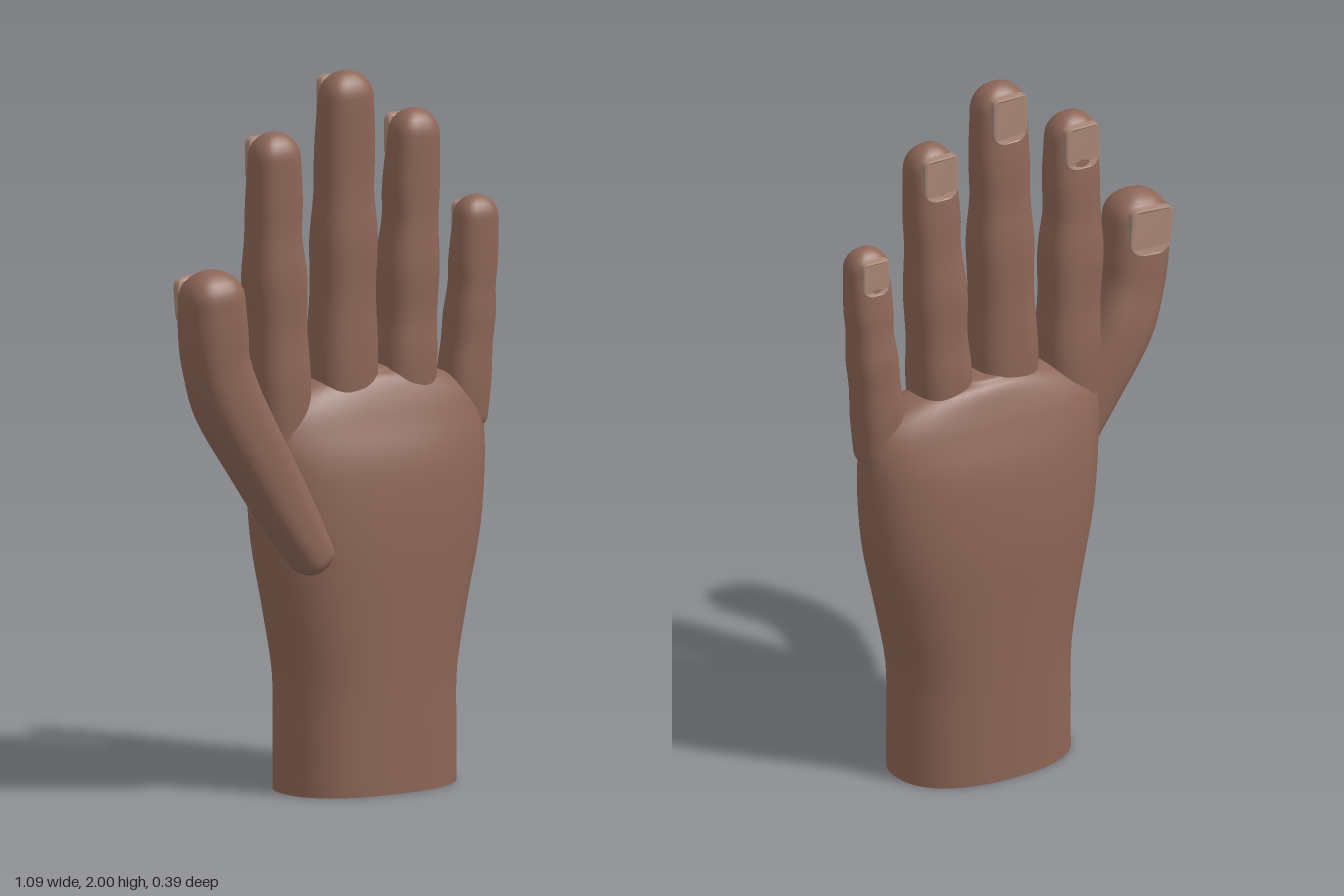
import * as THREE from 'three';

const skin = new THREE.MeshStandardMaterial({ color: 0x8d6657 });
skin.name = 'skin';
const nailColor = new THREE.MeshStandardMaterial({ color: 0xa98777 });
nailColor.name = 'nail';

const SIDES = 36;
const power = (v, n) => Math.sign(v) * Math.pow(Math.abs(v), 2 / n);

// Smooth loft through sections [x, y, z, halfWidth, halfDepth], with domed ends.
// n sets how square the rounded cross-section is.
function loft(sections, { n = 2.5, startDome = 0, endDome = 0, upright = false, steps = 5 }) {
  const centre = new THREE.CatmullRomCurve3(
    sections.map(s => new THREE.Vector3(s[0], s[1], s[2])), false, 'catmullrom', 0.5);
  const size = new THREE.CatmullRomCurve3(
    sections.map(s => new THREE.Vector3(s[3], s[4], 0)), false, 'catmullrom', 0.5);
  const rings = [];
  const addRing = (t, scale = 1, shift = 0) => {
    const dir = upright ? new THREE.Vector3(0, 1, 0) : centre.getTangent(t).setZ(0).normalize();
    const p = centre.getPoint(t).addScaledVector(dir, shift);
    const s = size.getPoint(t).multiplyScalar(scale);
    rings.push({ p, dir, w: s.x, d: s.y });
  };
  const DOME = 7;
  if (startDome) {
    for (let k = DOME; k > 0; k--) {
      const a = k / DOME * Math.PI / 2;
      addRing(0, Math.max(Math.cos(a), 0.001), -startDome * Math.sin(a));
    }
  }
  const count = (sections.length - 1) * steps;
  for (let i = 0; i <= count; i++) addRing(i / count);
  if (endDome) {
    for (let k = 1; k <= DOME; k++) {
      const a = k / DOME * Math.PI / 2;
      addRing(1, Math.max(Math.cos(a), 0.001), endDome * Math.sin(a));
    }
  }

  const positions = [], indices = [];
  rings.forEach(({ p, dir, w, d }, i) => {
    for (let j = 0; j < SIDES; j++) {
      const a = j / SIDES * Math.PI * 2;
      const u = w * power(Math.cos(a), n), v = d * power(Math.sin(a), n);
      positions.push(p.x + dir.y * u, p.y - dir.x * u, p.z - v);
      if (i < rings.length - 1) {
        const j2 = (j + 1) % SIDES, r = i * SIDES, q = r + SIDES;
        indices.push(r + j, r + j2, q + j, r + j2, q + j2, q + j);
      }
    }
  });
  const geometry = new THREE.BufferGeometry();
  geometry.setAttribute('position', new THREE.Float32BufferAttribute(positions, 3));
  geometry.setIndex(indices);
  geometry.computeVertexNormals();
  return geometry;
}

function addMesh(parent, geometry, material, name) {
  const mesh = new THREE.Mesh(geometry, material);
  mesh.name = name;
  parent.add(mesh);
  return mesh;
}

// Curved nail plate: square free edge, rounder root, wrapped around the finger back
function nailGeometry(width, height) {
  const w = width / 2, h = height / 2, r = w * 0.45, b = w * 0.7;
  const s = new THREE.Shape();
  s.moveTo(-w + b, -h);
  s.lineTo(w - b, -h);
  s.quadraticCurveTo(w, -h, w, -h + b);
  s.lineTo(w, h - r);
  s.quadraticCurveTo(w, h, w - r, h);
  s.lineTo(-w + r, h);
  s.quadraticCurveTo(-w, h, -w, h - r);
  s.lineTo(-w, -h + b);
  s.quadraticCurveTo(-w, -h, -w + b, -h);
  const g = new THREE.ExtrudeGeometry(s, {
    depth: 0.018, bevelThickness: 0.004, bevelSize: 0.004, bevelOffset: -0.004,
    bevelSegments: 2, curveSegments: 8 });
  const pos = g.attributes.position;
  for (let i = 0; i < pos.count; i++) {
    const x = pos.getX(i) / w;
    pos.setZ(i, pos.getZ(i) + 0.008 * x * x);
  }
  g.computeVertexNormals();
  return g;
}

// Fingers: sections from base to tip, then nail [x, y, z, width, height, tilt]
const fingers = {
  indexFinger: {
    sections: [
      [-0.155, 0.98, 0, 0.075, 0.075], [-0.16, 1.15, 0, 0.086, 0.085],
      [-0.167, 1.3, 0.002, 0.082, 0.078], [-0.175, 1.44, 0.006, 0.087, 0.08],
      [-0.181, 1.56, 0.01, 0.076, 0.07], [-0.181, 1.66, 0.014, 0.077, 0.067],
      [-0.186, 1.78, 0.022, 0.072, 0.06]],
    dome: 0.072, nail: [-0.185, 1.768, -0.046, 0.11, 0.13, 0] },
  middleFinger: {
    sections: [
      [0.052, 1.0, 0, 0.09, 0.08], [0.052, 1.2, 0, 0.097, 0.085],
      [0.054, 1.38, 0.002, 0.087, 0.08], [0.054, 1.53, 0.006, 0.091, 0.08],
      [0.052, 1.66, 0.01, 0.081, 0.07], [0.052, 1.78, 0.014, 0.083, 0.067],
      [0.049, 1.925, 0.024, 0.077, 0.06]],
    dome: 0.075, nail: [0.05, 1.91, -0.046, 0.11, 0.14, 0] },
  ringFinger: {
    sections: [
      [0.25, 0.98, 0, 0.08, 0.075], [0.256, 1.17, 0, 0.086, 0.085],
      [0.262, 1.3, 0.002, 0.08, 0.078], [0.264, 1.43, 0.006, 0.084, 0.08],
      [0.27, 1.56, 0.01, 0.074, 0.07], [0.271, 1.66, 0.014, 0.077, 0.067],
      [0.274, 1.8, 0.022, 0.07, 0.06]],
    dome: 0.072, nail: [0.273, 1.788, -0.046, 0.11, 0.13, 0] },
  littleFinger: {
    sections: [
      [0.45, 1.0, 0, 0.068, 0.06], [0.455, 1.1, 0, 0.072, 0.067],
      [0.463, 1.2, 0.002, 0.067, 0.065], [0.47, 1.28, 0.005, 0.068, 0.066],
      [0.474, 1.36, 0.01, 0.062, 0.06], [0.476, 1.43, 0.014, 0.066, 0.058],
      [0.479, 1.55, 0.022, 0.062, 0.05]],
    dome: 0.06, nail: [0.478, 1.535, -0.036, 0.088, 0.105, 0] },
  thumb: {
    sections: [
      [-0.12, 0.68, 0.105, 0.06, 0.068], [-0.2, 0.81, 0.1, 0.077, 0.076],
      [-0.29, 0.96, 0.098, 0.086, 0.084], [-0.385, 1.12, 0.098, 0.093, 0.09],
      [-0.432, 1.24, 0.105, 0.09, 0.084], [-0.446, 1.33, 0.11, 0.093, 0.084],
      [-0.455, 1.43, 0.115, 0.089, 0.08]],
    dome: 0.08, nail: [-0.453, 1.415, 0.024, 0.135, 0.14, 0.08] },
};

export function createModel() {
  const hand = new THREE.Group();
  hand.name = 'hand';

  // Wrist and palm, from [y, xMin, xMax, zBack, zFront]
  const palm = [
    [0, -0.132, 0.405, -0.193, 0.165], [0.16, -0.132, 0.405, -0.193, 0.165],
    [0.32, -0.135, 0.408, -0.193, 0.165], [0.5, -0.168, 0.445, -0.195, 0.167],
    [0.7, -0.21, 0.49, -0.196, 0.167], [0.9, -0.233, 0.508, -0.175, 0.152],
    [1.02, -0.235, 0.502, -0.143, 0.12], [1.09, -0.18, 0.455, -0.12, 0.098],
    [1.14, -0.07, 0.35, -0.1, 0.075], [1.16, 0.02, 0.24, -0.08, 0.05],
  ].map(([y, x0, x1, z0, z1]) => [(x0 + x1) / 2, y, (z0 + z1) / 2, (x1 - x0) / 2, (z1 - z0) / 2]);
  addMesh(hand, loft(palm, { n: 2.3, endDome: 0.01, upright: true, steps: 4 }), skin, 'palm');

  // Flat cut at the wrist
  const cut = new THREE.Shape();
  for (let j = 0; j < SIDES; j++) {
    const a = j / SIDES * Math.PI * 2;
    cut[j ? 'lineTo' : 'moveTo'](
      palm[0][0] + palm[0][3] * power(Math.cos(a), 2.3),
      palm[0][2] + palm[0][4] * power(Math.sin(a), 2.3));
  }
  addMesh(hand, new THREE.ShapeGeometry(cut).rotateX(Math.PI / 2), skin, 'wristBase');

  // Fingers and thumb, each with its nail
  for (const [name, f] of Object.entries(fingers)) {
    const group = new THREE.Group();
    group.name = name;
    addMesh(group, loft(f.sections, { n: 2.6, startDome: 0.05, endDome: f.dome }), skin, name + 'Flesh');
    const [x, y, z, w, h, tilt] = f.nail;
    const nail = addMesh(group, nailGeometry(w, h), nailColor, name + 'Nail');
    nail.position.set(x, y, z);
    nail.rotation.z = tilt;
    hand.add(group);
  }
  return hand;
}
